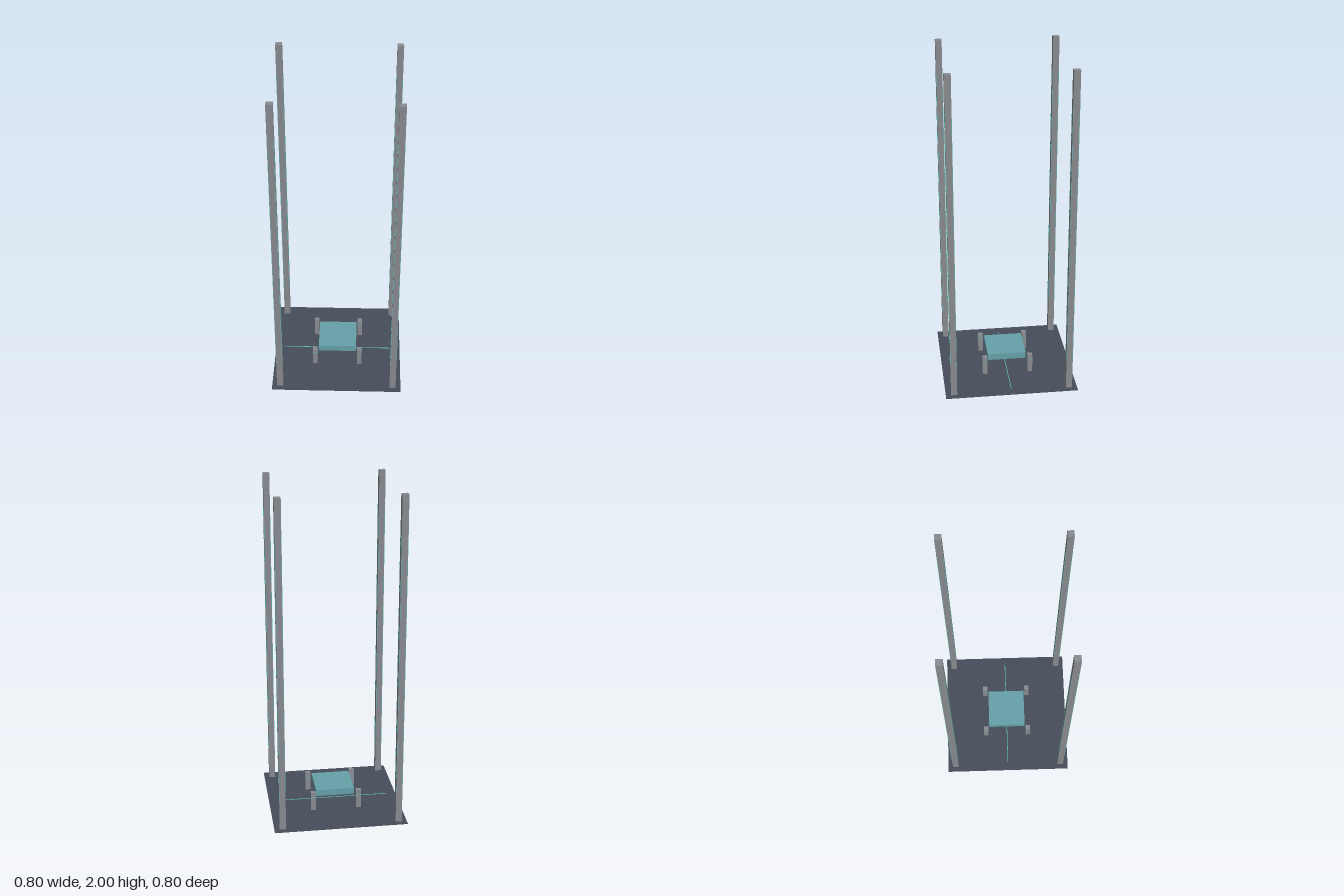
import * as THREE from 'three';

const material = (name, color) => {
  const m = new THREE.MeshStandardMaterial({ color });
  m.name = name;
  return m;
};

export function createModel() {
  const slate = material('slate floor', 0x464e5a);
  const grey = material('grey metal', 0x888b90);
  const teal = material('muted teal', 0x66a2aa);
  const glow = material('bright teal', 0x5cc4b4);
  const model = new THREE.Group();
  model.name = 'postedPlatform';

  // Box standing on height y
  const box = (parent, name, mat, w, h, d, x, y, z) => {
    const mesh = new THREE.Mesh(new THREE.BoxGeometry(w, h, d), mat);
    mesh.name = name;
    mesh.position.set(x, y + h / 2, z);
    parent.add(mesh);
  };
  const corners = [[-1, -1], [1, -1], [1, 1], [-1, 1]];

  // Floor plate with a thin line running across it
  box(model, 'floor', slate, 0.8, 0.004, 0.8, 0, 0, 0);
  box(model, 'floorLine', glow, 0.69, 0.002, 0.004, 0, 0.004, 0);

  // Floating central pad
  box(model, 'pad', teal, 0.237, 0.04, 0.237, 0, 0.08, 0);

  for (const [sx, sz] of corners) {
    // Tall corner post with fine strips down its edges
    const post = new THREE.Group();
    post.name = 'cornerPost';
    post.position.set(sx * 0.35, 0, sz * 0.35);
    box(post, 'postShaft', grey, 0.038, 2, 0.038, 0, 0, 0);
    for (const [ex, ez] of corners) {
      box(post, 'edgeStrip', glow, 0.002, 1.6, 0.002, ex * 0.0185, 0.2, ez * 0.0185);
    }
    model.add(post);

    // Short post beside the pad, with a thin band
    box(model, 'shortPost', grey, 0.03, 0.12, 0.03, sx * 0.14, 0, sz * 0.14);
    box(model, 'shortPostBand', glow, 0.031, 0.003, 0.031, sx * 0.14, 0.09, sz * 0.14);
  }
  return model;
}
